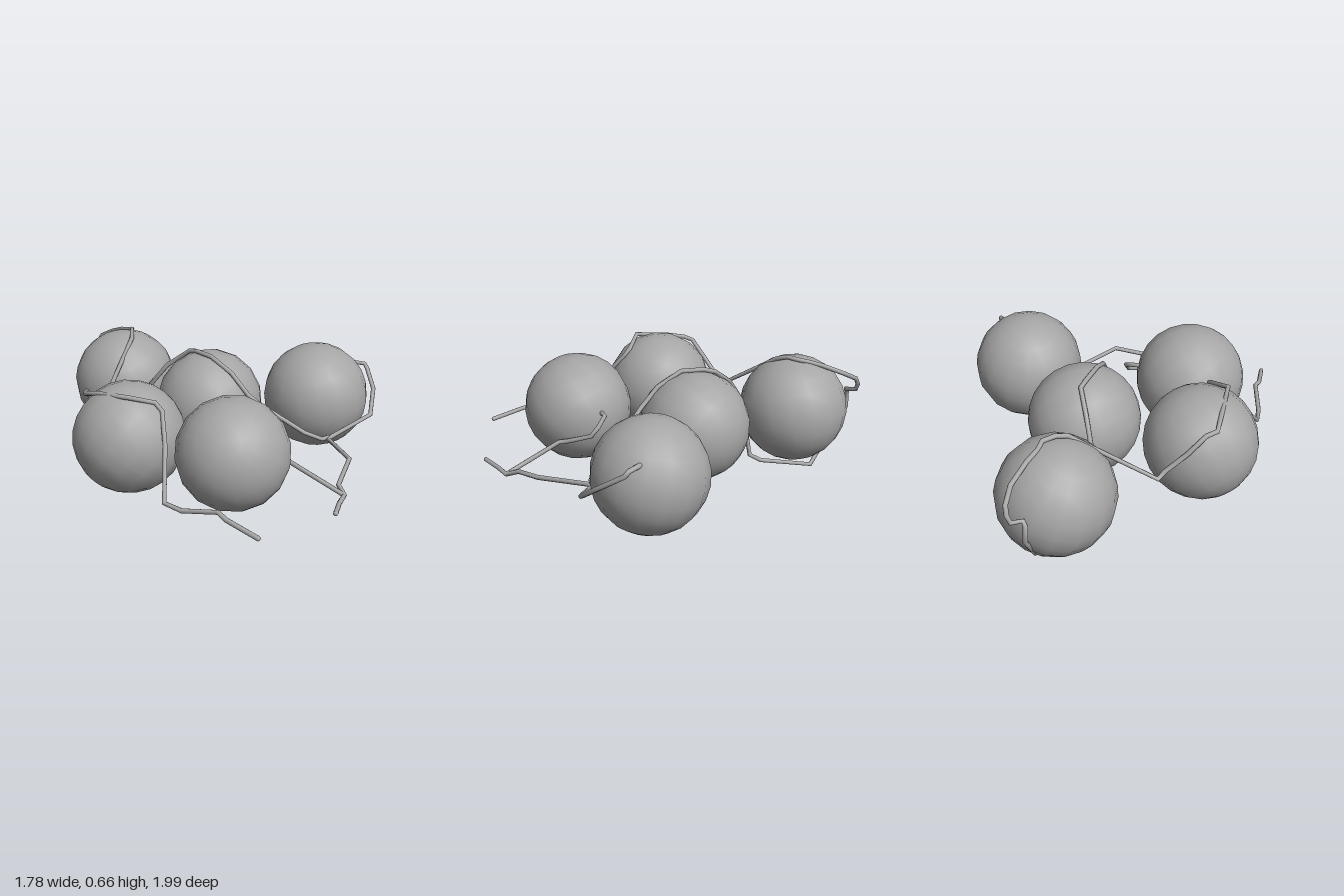
import * as THREE from 'three';

const WIRE_RADIUS = 0.013;

// Straight-segment path whose rings sit exactly on its corner points
class Polyline extends THREE.Curve {
  constructor(points) {
    super();
    this.points = points.map((p) => new THREE.Vector3(...p));
  }
  getPoint(t, target = new THREE.Vector3()) {
    const last = this.points.length - 1;
    const i = Math.min(Math.floor(t * last + 1e-6), last - 1);
    return target.lerpVectors(this.points[i], this.points[i + 1], t * last - i);
  }
  getPointAt(t, target) {
    return this.getPoint(t, target);
  }
  // Mean of the directions before and after the corner
  getTangentAt(t, target = new THREE.Vector3()) {
    const last = this.points.length - 1;
    const i = Math.round(t * last);
    const dir = (a, b) => this.points[b].clone().sub(this.points[a]).normalize();
    target.set(0, 0, 0);
    if (i > 0) target.add(dir(i - 1, i));
    if (i < last) target.add(dir(i, i + 1));
    return target.normalize();
  }
}

export function createModel() {
  const model = new THREE.Group();
  const grey = new THREE.MeshStandardMaterial({ color: 0xa6a6a6 });
  grey.name = 'plain grey';

  // Five equal balls, each lying at a different tilt
  const ballGeometry = new THREE.SphereGeometry(0.306, 16, 12);
  const balls = [
    [-0.58, -0.665, 0.3, 0.2],
    [-0.08, -0.28, 0.9, 0.5],
    [0.553, -0.345, 0.5, -0.6],
    [-0.535, 0.18, -0.4, 0.7],
    [0.005, 0.425, 0.7, -0.3],
  ];
  balls.forEach(([x, z, tiltX, tiltZ], i) => {
    const ball = new THREE.Mesh(ballGeometry, grey);
    ball.name = `ball${i + 1}`;
    ball.position.set(x, 0.335, z);
    ball.rotation.set(tiltX, i, tiltZ);
    model.add(ball);
  });

  // Bent wire with rounded ends
  function addWire(name, points) {
    const wire = new THREE.Group();
    wire.name = name;
    const path = new Polyline(points);
    wire.add(new THREE.Mesh(new THREE.TubeGeometry(path, points.length - 1, WIRE_RADIUS, 8), grey));
    for (const end of [path.points[0], path.points[points.length - 1]]) {
      const cap = new THREE.Mesh(new THREE.SphereGeometry(WIRE_RADIUS, 8, 6), grey);
      cap.position.copy(end);
      wire.add(cap);
    }
    wire.children.forEach((mesh) => { mesh.name = `${name}Part`; });
    model.add(wire);
  }

  // From the front tip, over the right ball, to the top of the rear ball
  addWire('frontWire', [
    [0.085, 0.16, 0.985], [-0.06, 0.2, 0.87], [-0.095, 0.214, 0.82], [-0.27, 0.178, 0.73],
    [-0.355, 0.187, 0.663], [-0.344, 0.4, 0.45], [-0.355, 0.54, 0.325], [-0.39, 0.58, 0.305],
    [-0.524, 0.624, 0.334], [-0.68, 0.595, 0.2], [-0.76, 0.57, 0.13], [-0.757, 0.56, 0.07],
    [-0.74, 0.47, -0.02], [-0.705, 0.37, -0.13], [-0.71, 0.34, -0.17],
    [-0.53, 0.63, -0.57], [-0.53, 0.65, -0.63], [-0.53, 0.645, -0.7], [-0.565, 0.63, -0.74],
    [-0.6, 0.61, -0.81], [-0.667, 0.56, -0.92],
  ]);

  // Around the rear ball, underneath it and over the middle ball
  addWire('rearWire', [
    [-0.667, 0.56, -0.92], [-0.735, 0.515, -0.975], [-0.76, 0.475, -0.982], [-0.772, 0.435, -0.97],
    [-0.775, 0.425, -0.91], [-0.8, 0.41, -0.91], [-0.795, 0.31, -0.915], [-0.71, 0.13, -0.84],
    [-0.54, 0.016, -0.81], [-0.45, 0.016, -0.54], [-0.42, 0.05, -0.48], [-0.44, 0.38, -0.4],
    [-0.32, 0.53, -0.375], [-0.19, 0.625, -0.345], [-0.155, 0.64, -0.295], [-0.074, 0.64, -0.196],
    [0.035, 0.57, -0.11], [0.125, 0.46, -0.05], [0.2, 0.4, -0.035], [0.44, 0.245, 0.005],
    [0.54, 0.205, 0.012], [0.58, 0.2, -0.02],
  ]);

  // Hook on the left ball, then forward to the short loose end
  addWire('leftWire', [
    [0.783, 0.505, -0.415], [0.85, 0.5, -0.395], [0.863, 0.475, -0.38], [0.88, 0.395, -0.26],
    [0.84, 0.29, -0.12], [0.6, 0.2, -0.025], [0.58, 0.2, 0.01], [0.65, 0.205, 0.27],
    [0.56, 0.15, 0.46], [0.58, 0.125, 0.53], [0.54, 0.125, 0.61], [0.5, 0.132, 0.727],
  ]);

  // Branch curling round the front ball
  addWire('branchWire', [
    [0.58, 0.125, 0.53], [0.31, 0.245, 0.36], [0.295, 0.26, 0.3], [0.275, 0.31, 0.17],
    [0.25, 0.36, 0.14], [0.18, 0.4, 0.14], [0.152, 0.4, 0.18],
  ]);

  return model;
}
